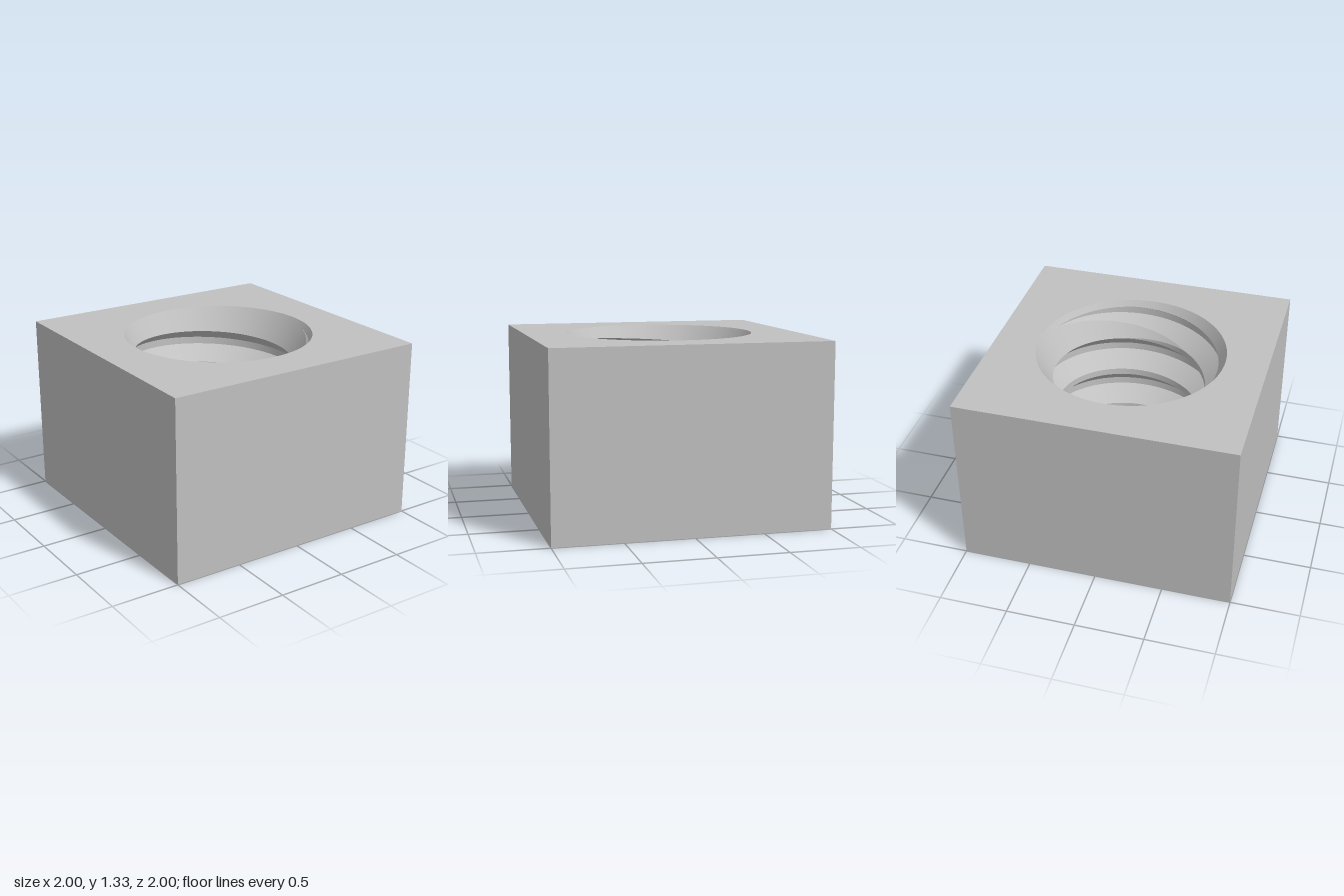
import * as THREE from 'three';
import { mergeGeometries } from 'three/addons/utils/BufferGeometryUtils.js';

const H = 4 / 3;            // nut height
const PITCH = 1 / 3;
const CREST = 0.545;        // thread radii
const ROOT = 0.667;
const RIM = 0.692;          // countersink radius at both faces
const CONE = Math.tan(Math.PI / 6);
const N = 192;              // steps per turn

// One pitch of the thread: [height, radius], centred on the crest
const PROFILE = [
  [-0.1667, ROOT], [-0.1395, ROOT], [-0.025, CREST],
  [0.025, CREST], [0.1395, ROOT], [0.1667, ROOT],
].map(([y, r]) => [Math.abs(y) > 0.16 ? Math.sign(y) * PITCH / 2 : y, r]);

const topCone = (y) => RIM - CONE * (H - y);
const bottomCone = (y) => RIM - CONE * y;

// Part of [a, b] where the straight line f lies outside every other line
function dominant(f, others, a, b) {
  let lo = a, hi = b;
  for (const g of others) {
    const da = f(a) - g(a), db = f(b) - g(b);
    if (da < 0 && db < 0) return null;
    if (da >= 0 && db >= 0) continue;
    const cut = a + (b - a) * da / (da - db);
    if (da < 0) lo = Math.max(lo, cut);
    else hi = Math.min(hi, cut);
  }
  return hi - lo > 1e-7 ? [lo, hi] : null;
}

// Strip of wall facing the axis; columns hold [low, high] ends or null
function strip(columns, radius) {
  const pos = [], index = [];
  columns.forEach((col, k) => {
    const t = k / N * Math.PI * 2;
    const near = columns[k - 1] || columns[k + 1];
    const mid = near ? (near[0] + near[1]) / 2 : 0;
    for (const y of col || [mid, mid]) {
      const r = radius(k, y);
      pos.push(r * Math.cos(t), y, -r * Math.sin(t));
    }
    if (k < N && (col || columns[k + 1])) {
      const a = 2 * k;
      if (col) index.push(a, a + 1, a + 2);
      if (columns[k + 1]) index.push(a + 1, a + 3, a + 2);
    }
  });
  if (!index.length) return null;
  const geo = new THREE.BufferGeometry();
  geo.setAttribute('position', new THREE.Float32BufferAttribute(pos, 3));
  geo.setIndex(index);
  geo.computeVertexNormals();
  return geo;
}

// Right-handed helical thread, cut by a countersink at each end
function threadedBore() {
  const thread = [], sinks = [];
  for (let turn = -1; turn <= 4; turn++) {
    for (let s = 0; s < PROFILE.length - 1; s++) {
      const [p0, r0] = PROFILE[s], [p1, r1] = PROFILE[s + 1];
      const base = (k) => PITCH * (turn + 0.5 + k / N);
      const flank = (k, y) => r0 + (r1 - r0) * (y - base(k) - p0) / (p1 - p0);
      const cols = [[], [], []];
      for (let k = 0; k <= N; k++) {
        const a = Math.max(0, base(k) + p0), b = Math.min(H, base(k) + p1);
        const lines = [(y) => flank(k, y), topCone, bottomCone];
        lines.forEach((f, i) => {
          cols[i].push(b - a < 1e-7 ? null
            : dominant(f, lines.filter((g) => g !== f), a, b));
        });
      }
      const outer = (k, y) => Math.max(topCone(y), bottomCone(y),
        Math.min(ROOT, Math.max(CREST, flank(k, y))));
      cols.forEach((c, i) => {
        const geo = strip(c, outer);
        if (geo) (i ? sinks : thread).push(geo);
      });
    }
  }
  return [mergeGeometries(thread), mergeGeometries(sinks)];
}

export function createModel() {
  const model = new THREE.Group();
  model.name = 'squareNut';
  const steel = new THREE.MeshStandardMaterial({ color: 0xc0c0c0 });
  steel.name = 'steelGrey';
  const add = (name, geo) => {
    const mesh = new THREE.Mesh(geo, steel);
    mesh.name = name;
    model.add(mesh);
    return mesh;
  };

  // Four flat sides
  ['frontSide', 'leftSide', 'backSide', 'rightSide'].forEach((name, i) => {
    add(name, new THREE.PlaneGeometry(2, H)
      .translate(0, H / 2, 1).rotateY(i * Math.PI / 2));
  });

  // Square faces with a round opening
  const square = new THREE.Shape([
    new THREE.Vector2(-1, -1), new THREE.Vector2(1, -1),
    new THREE.Vector2(1, 1), new THREE.Vector2(-1, 1),
  ]);
  square.holes.push(new THREE.Path().absarc(0, 0, RIM, 0, Math.PI * 2, true));
  const face = new THREE.ShapeGeometry(square, N / 2);
  add('topFace', face.clone().rotateX(-Math.PI / 2).translate(0, H, 0));
  add('bottomFace', face.rotateX(Math.PI / 2));

  // Bore
  const [thread, sinks] = threadedBore();
  add('helicalThread', thread);
  add('countersinks', sinks);
  return model;
}
